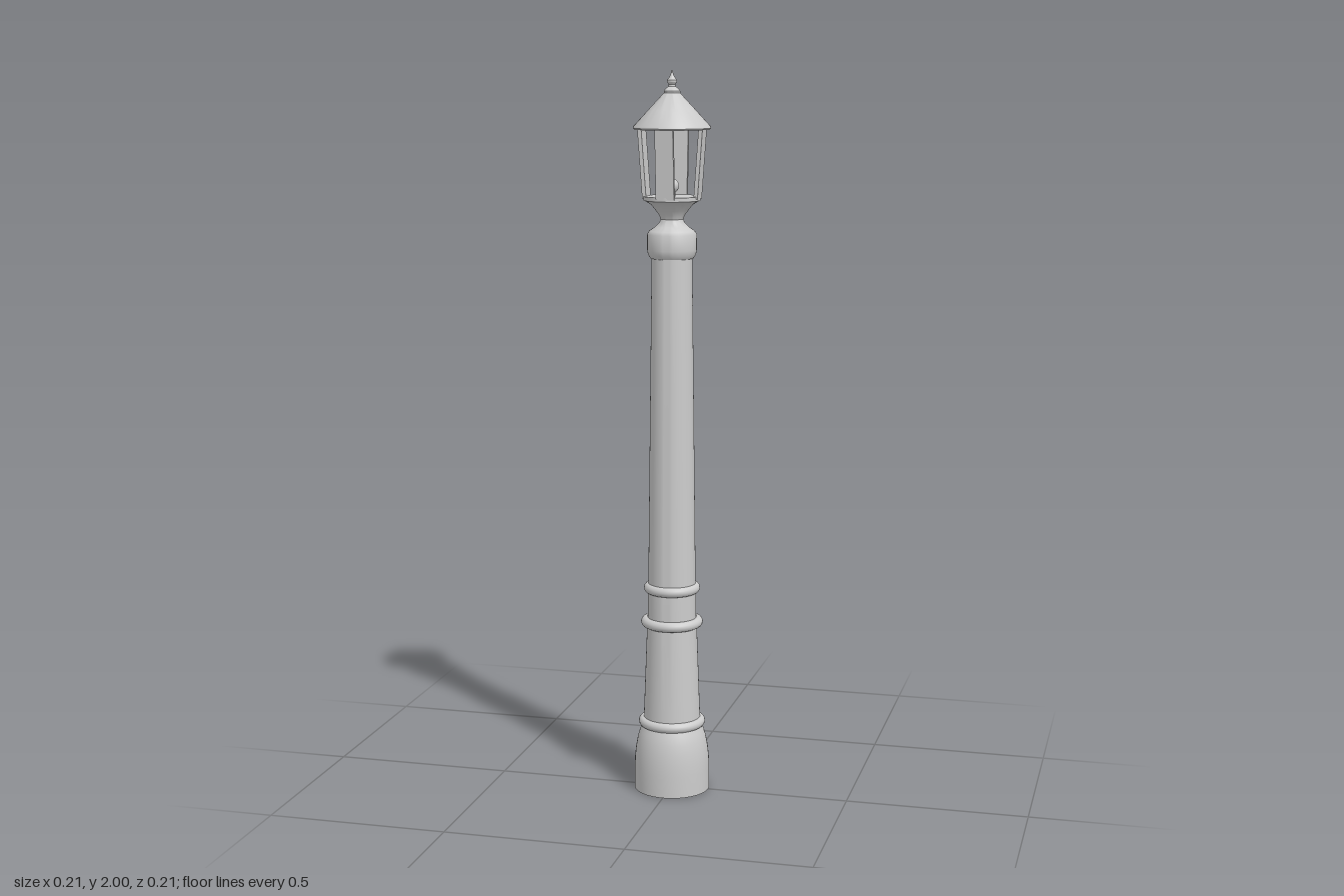
import * as THREE from 'three';
import { toCreasedNormals } from 'three/addons/utils/BufferGeometryUtils.js';

const material = new THREE.MeshStandardMaterial({ color: 0xcccccc });

export function createModel() {
  const model = new THREE.Group();
  model.name = 'lampPost';

  const add = (name, geometry) => {
    const mesh = new THREE.Mesh(geometry, material);
    mesh.name = name;
    model.add(mesh);
    return mesh;
  };
  // Turned part from [radius, height] pairs, listed bottom to top
  const turned = (name, profile, segments = 48) => {
    const points = profile.map(([r, y]) => new THREE.Vector2(r, y));
    return add(name, toCreasedNormals(new THREE.LatheGeometry(points, segments), 0.6));
  };

  // Rounded foot
  turned('base', [[0, 0], [0.105, 0], [0.105, 0.06], [0.104, 0.09], [0.101, 0.12],
    [0.096, 0.148], [0.09, 0.168], [0.083, 0.185], [0, 0.185]]);

  // Tapering column in three stages
  turned('lowerShaft', [[0.08, 0.18], [0.069, 0.48]]);
  turned('middleShaft', [[0.068, 0.47], [0.067, 0.58]]);
  turned('upperShaft', [[0.066, 0.57], [0.055, 1.51]]);

  // Rounded collars: height, outer radius, tube radius
  [[0.195, 0.093, 0.014], [0.483, 0.086, 0.014], [0.58, 0.078, 0.014]].forEach(([y, r, t], i) => {
    const ring = add('collar' + (i + 1), new THREE.TorusGeometry(r - t, t, 14, 48));
    ring.rotation.x = Math.PI / 2;
    ring.position.y = y;
  });

  // Capital and the waisted lantern holder
  turned('capital', [[0, 1.497], [0.058, 1.497], [0.065, 1.507], [0.067, 1.52], [0.067, 1.562],
    [0.062, 1.571], [0.045, 1.582], [0.034, 1.594], [0.03, 1.605], [0, 1.605]]);
  turned('lanternHolder', [[0.03, 1.6], [0.034, 1.612], [0.044, 1.626], [0.057, 1.642],
    [0.07, 1.65], [0.077, 1.653], [0.077, 1.664], [0, 1.664]]);

  // Four flat uprights leaning outward
  const bottom = 1.658, top = 1.852, lean = 0.014;
  for (let i = 0; i < 4; i++) {
    const geometry = new THREE.BoxGeometry(0.05, top - bottom, 0.011);
    const p = geometry.attributes.position;
    for (let k = 0; k < p.count; k++) {
      p.setZ(k, p.getZ(k) + (p.getY(k) > 0 ? lean : 0));
    }
    geometry.translate(0, (top + bottom) / 2, 0.071);
    geometry.computeVertexNormals();
    add('upright' + (i + 1), geometry).rotation.y = i * Math.PI / 2;
  }

  // Small bulb on its socket
  turned('bulbSocket', [[0.01, 1.66], [0.01, 1.678]], 20);
  add('bulb', new THREE.SphereGeometry(0.019, 24, 16)).position.y = 1.692;

  // Conical roof with a thin rim and a closed underside
  turned('roof', [[0, 1.842], [0.102, 1.842], [0.105, 1.846], [0.103, 1.851],
    [0.065, 1.892], [0.028, 1.932], [0.018, 1.942]]);

  // Finial with bead and spike
  turned('finial', [[0.018, 1.932], [0.022, 1.938], [0.022, 1.944], [0.016, 1.951],
    [0.01, 1.955], [0.009, 1.961], [0.013, 1.967], [0.013, 1.973], [0.008, 1.979],
    [0.005, 1.985], [0, 2]], 28);

  return model;
}
